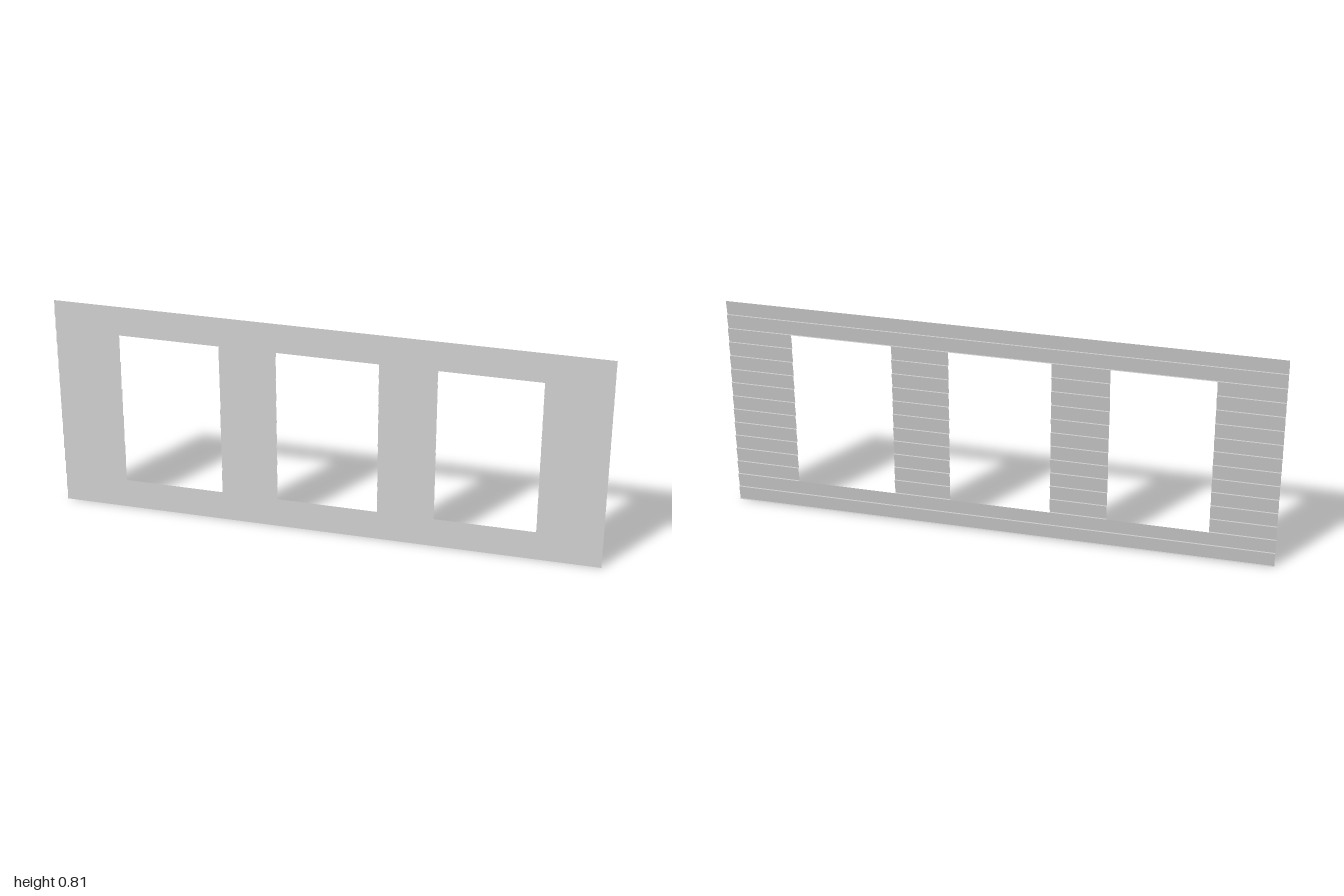
import * as THREE from 'three';

const ROWS = 15;
const HEIGHT = 0.815;
const ROW_H = HEIGHT / ROWS;
const LEAN = 0.0033;   // each board tips back this far either side of the wall plane
const SKEW = -0.0252;  // wall runs slightly back toward +x

const material = new THREE.MeshStandardMaterial({
  color: 0xcccccc, flatShading: true, side: THREE.DoubleSide,
});

// One clapboard: a sloping face with a narrow ledge folded back under its lower edge
function board(name, x0, x1, row) {
  const geometry = new THREE.PlaneGeometry(1, 1, 1, 2);
  const p = geometry.attributes.position;
  const bottom = row * ROW_H;
  const profile = [[bottom + ROW_H, -LEAN], [bottom, LEAN], [bottom, -LEAN]];
  for (let i = 0; i < p.count; i++) {
    const x = i % 2 ? x1 : x0;
    const [y, z] = profile[Math.floor(i / 2)];
    p.setXYZ(i, x, y, z + x * SKEW);
  }
  const flat = geometry.toNonIndexed();
  flat.computeVertexNormals();
  const mesh = new THREE.Mesh(flat, material);
  mesh.name = name;
  return mesh;
}

// A stack of boards sharing the same left and right ends
function panel(name, x0, x1, firstRow, lastRow) {
  const group = new THREE.Group();
  group.name = name;
  for (let row = firstRow; row <= lastRow; row++) {
    group.add(board('sidingBoard', x0, x1, row));
  }
  return group;
}

export function createModel() {
  const wall = new THREE.Group();
  wall.name = 'sidingWall';

  // Full-width boards below and above the window openings
  wall.add(panel('lowerSiding', -1, 1, 0, 1));
  wall.add(panel('upperSiding', -1, 1, 13, 14));

  // Piers of short boards between the three openings
  for (const s of [-1, 1]) {
    const side = s > 0 ? 'left' : 'right';
    const pier = (name, a, b) =>
      wall.add(panel(side + name, Math.min(s * a, s * b), Math.max(s * a, s * b), 2, 12));
    pier('InnerPier', 0.185, 0.393);
    pier('OuterPier', 0.762, 1);
  }
  return wall;
}
